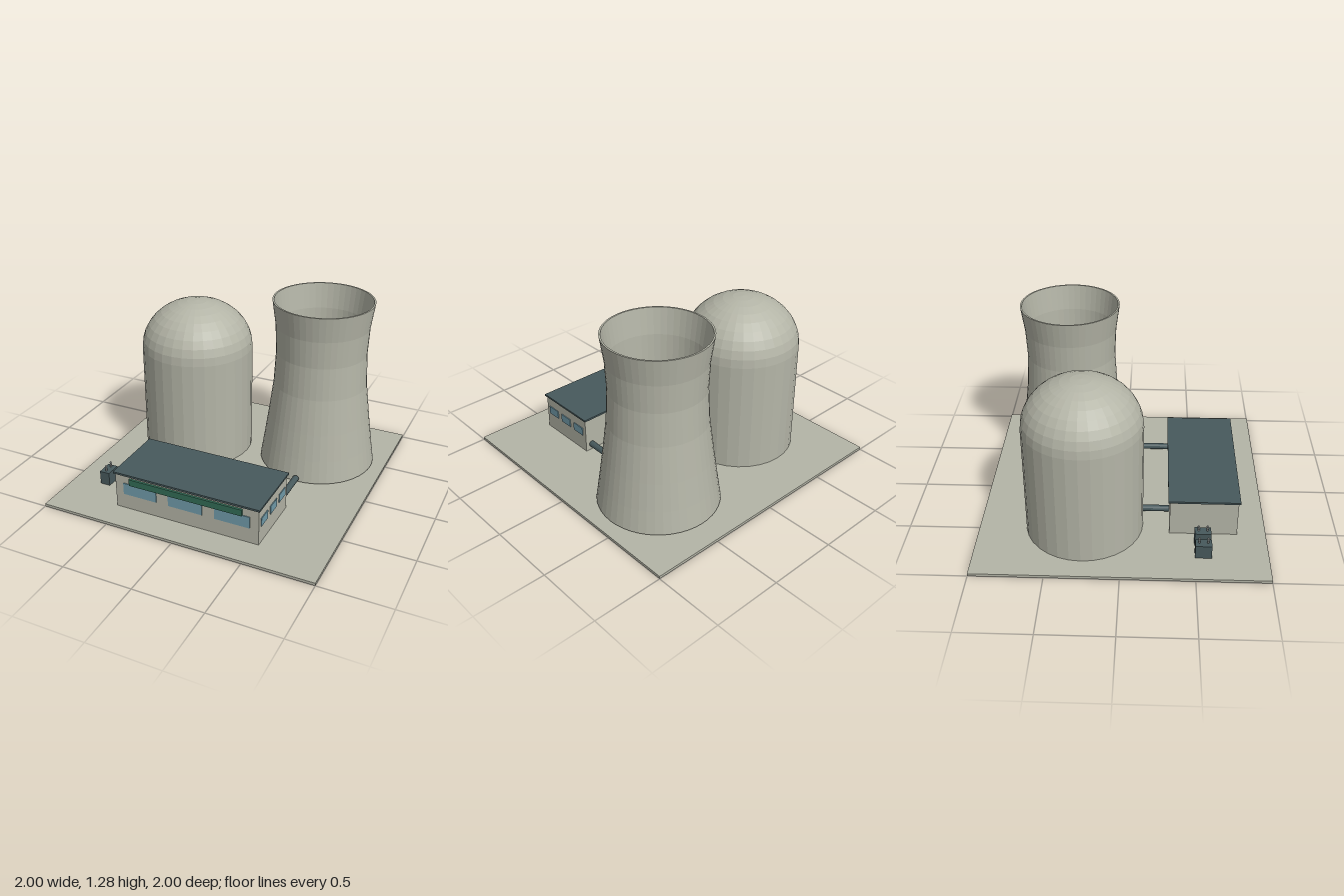
import * as THREE from 'three';

const flat = (name, color) => {
  const m = new THREE.MeshStandardMaterial({ color, flatShading: true });
  m.name = name;
  return m;
};

export function createModel() {
  const model = new THREE.Group();
  model.name = 'powerPlant';
  const concrete = flat('concrete', 0xb4b5a7);
  const slate = flat('slate', 0x47595c);
  const glass = flat('glass', 0x719cab);
  const green = flat('green', 0x326c56);
  const porcelain = flat('porcelain', 0xa3a8a6);

  const add = (name, geo, mat, x, y, z, parent = model) => {
    const mesh = new THREE.Mesh(geo, mat);
    mesh.name = name;
    mesh.position.set(x, y, z);
    parent.add(mesh);
    return mesh;
  };
  const box = (name, mat, w, h, d, x, y, z, parent) =>
    add(name, new THREE.BoxGeometry(w, h, d), mat, x, y, z, parent);
  const lathe = (pts, sides) =>
    new THREE.LatheGeometry(pts.map(([r, y]) => new THREE.Vector2(r, y)), sides);

  // Ground slab
  box('groundSlab', concrete, 2, 0.02, 2, 0, 0.01, 0);

  // Cooling tower: waisted outer wall, rim, inner wall
  const outer = [[0.425, 0.035], [0.4, 0.2], [0.372, 0.4], [0.339, 0.66],
    [0.326, 0.9], [0.335, 1.1], [0.361, 1.285]];
  const inner = outer.map(([r, y]) => [r - 0.012, y]).reverse();
  add('coolingTower', lathe([...outer, ...inner, outer[0]], 48), concrete, 0.485, 0, -0.413);
  add('towerBasin', new THREE.CylinderGeometry(0.395, 0.395, 0.015, 48), slate, 0.485, 0.055, -0.413);

  // Containment building: straight drum under a flattened dome
  const dome = [[0.41, 0.02]];
  const rings = 9;
  for (let i = 0; i <= rings; i++) {
    const a = (i / rings) * Math.PI / 2;
    dome.push([i === rings ? 0 : 0.41 * Math.cos(a), 0.835 + 0.35 * Math.sin(a)]);
  }
  add('containmentDome', lathe(dome, 32), concrete, -0.44, 0, -0.265);

  // Turbine hall
  const hall = new THREE.Group();
  hall.name = 'turbineHall';
  model.add(hall);
  box('hallWalls', concrete, 1.07, 0.265, 0.47, 0, 0.1525, 0.565, hall);
  box('hallRoof', slate, 1.09, 0.014, 0.494, 0, 0.291, 0.565, hall);
  box('frontBand', green, 0.84, 0.048, 0.016, 0, 0.244, 0.808, hall);
  for (const i of [-1, 0, 1]) {
    box('frontWindow', glass, 0.254, 0.086, 0.008, i * 0.345, 0.178, 0.802, hall);
    box('sideWindow', glass, 0.008, 0.062, 0.106, 0.537, 0.178, 0.565 + i * 0.15, hall);
  }

  // Pipes from the hall to the tower and the dome
  for (const [x, z0, z1] of [[0.485, 0.02, 0.34], [-0.315, 0.12, 0.34]]) {
    const pipe = add('pipe', new THREE.CylinderGeometry(0.023, 0.023, z1 - z0, 12),
      slate, x, 0.066, (z0 + z1) / 2);
    pipe.rotation.x = Math.PI / 2;
  }

  // Transformers with ribbed insulators
  const ribs = [[0, 0]];
  for (let i = 0; i < 3; i++) {
    ribs.push([0.005, i * 0.015], [0.009, i * 0.015 + 0.007], [0.005, i * 0.015 + 0.014]);
  }
  ribs.push([0, 0.045]);
  for (const x of [-0.755, -0.627]) {
    const unit = new THREE.Group();
    unit.name = 'transformer';
    unit.position.set(x, 0, 0.557);
    model.add(unit);
    box('transformerTank', slate, 0.075, 0.1, 0.112, 0, 0.07, 0, unit);
    for (const z of [-0.03, 0.03]) add('insulator', lathe(ribs, 8), porcelain, 0, 0.12, z, unit);
  }

  return model;
}
